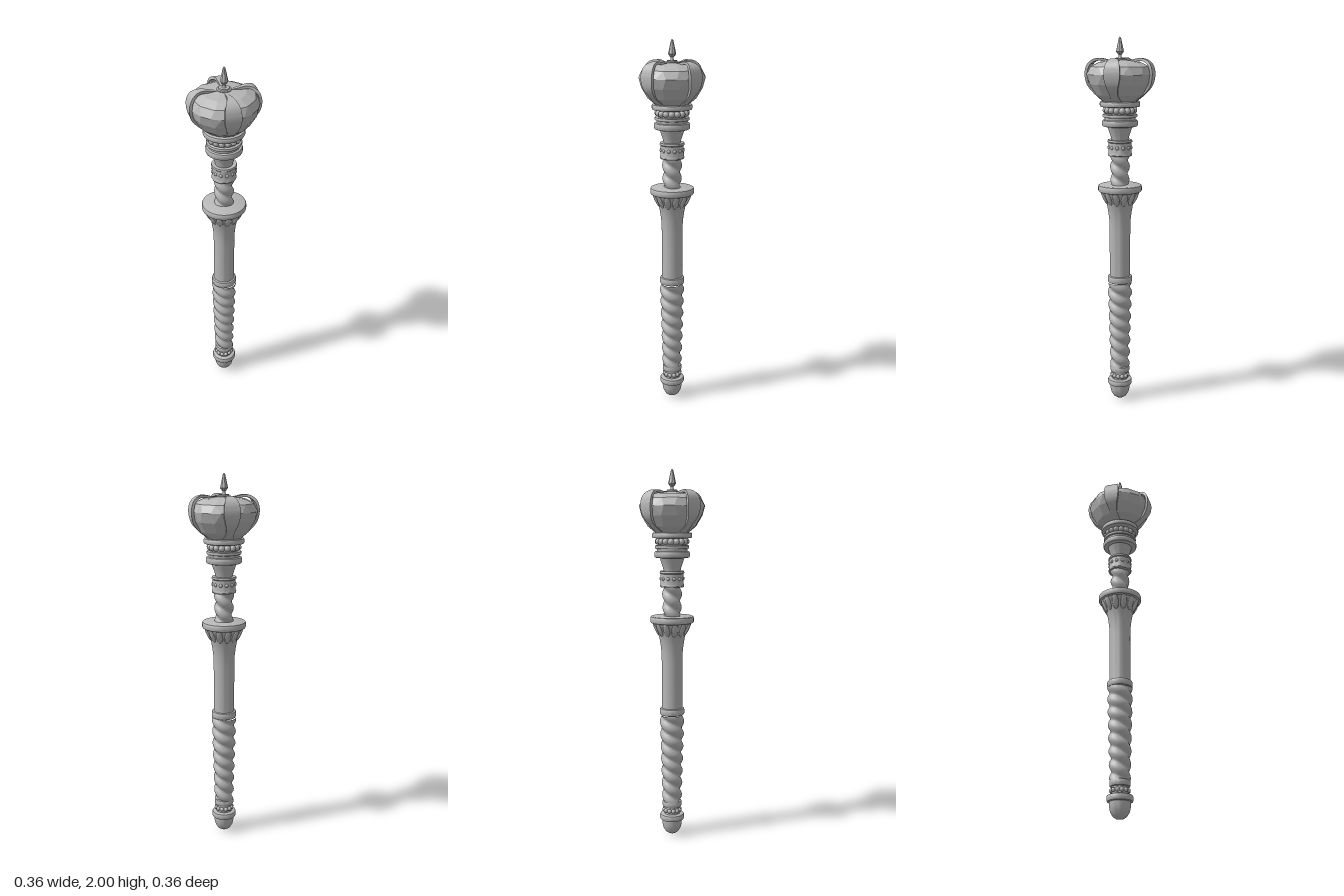
import * as THREE from 'three';
import { mergeVertices, toCreasedNormals } from 'three/addons/utils/BufferGeometryUtils.js';
import { ConvexGeometry } from 'three/addons/geometries/ConvexGeometry.js';

const metal = new THREE.MeshStandardMaterial({ color: 0xb8b8b8 });
metal.name = 'grey metal';

function add(parent, name, geometry) {
  const mesh = new THREE.Mesh(geometry, metal);
  mesh.name = name;
  parent.add(mesh);
  return mesh;
}

// Turned part from [radius, height] pairs, listed bottom to top
function turned(parent, name, profile, sides = 40) {
  const pts = profile.map(([r, y]) => new THREE.Vector2(r, y));
  return add(parent, name, toCreasedNormals(new THREE.LatheGeometry(pts, sides), 0.6));
}

// Ring with rounded rim
function ring(parent, name, y0, y1, r) {
  const b = (y1 - y0) * 0.25;
  return turned(parent, name, [[0, y0], [r - b, y0], [r - b * 0.3, y0 + b * 0.3], [r, y0 + b],
    [r, y1 - b], [r - b * 0.3, y1 - b * 0.3], [r - b, y1], [0, y1]]);
}

// Circle of beads
function beads(parent, name, count, y, r, size) {
  const group = new THREE.Group();
  group.name = name;
  const geometry = new THREE.SphereGeometry(size, 12, 8);
  for (let i = 0; i < count; i++) {
    const a = (i / count) * Math.PI * 2;
    add(group, 'bead', geometry).position.set(Math.sin(a) * r, y, Math.cos(a) * r);
  }
  parent.add(group);
}

// Rope-like column with two spiral ridges
function twisted(parent, name, y0, y1, r0, r1, depth, pitch) {
  const h = y1 - y0;
  let g = new THREE.CylinderGeometry(1, 1, h, 40, Math.round(h * 170), true);
  g.deleteAttribute('uv');
  g.deleteAttribute('normal');
  g = mergeVertices(g);
  const p = g.attributes.position;
  for (let i = 0; i < p.count; i++) {
    const y = p.getY(i) + (y0 + y1) / 2;
    const a = Math.atan2(p.getX(i), p.getZ(i));
    const wave = Math.abs(Math.cos(a + (2 * Math.PI * y) / pitch));
    const r = THREE.MathUtils.lerp(r0, r1, (y - y0) / h) - depth * (1 - wave);
    p.setXYZ(i, Math.sin(a) * r, y, Math.cos(a) * r);
  }
  g.computeVertexNormals();
  return add(parent, name, g);
}

// Curved crown band: points hold (width, height, radius)
function strapGeometry() {
  const curve = new THREE.CatmullRomCurve3([
    [0.055, 1.672, 0.088], [0.042, 1.71, 0.135], [0.062, 1.75, 0.167], [0.08, 1.79, 0.178],
    [0.082, 1.83, 0.178], [0.072, 1.865, 0.165], [0.045, 1.888, 0.135], [0.026, 1.892, 0.1],
    [0.018, 1.884, 0.06], [0.017, 1.882, 0.025],
  ].map((p) => new THREE.Vector3(...p)));
  const steps = 36, thick = 0.014, pos = [], idx = [];
  for (let i = 0; i <= steps; i++) {
    const c = curve.getPoint(i / steps), t = curve.getTangent(i / steps);
    const len = Math.hypot(t.y, t.z), ny = -t.z / len, nz = t.y / len, w = c.x / 2;
    for (const [x, d] of [[-w, 0], [w, 0], [w, thick], [-w, thick]]) {
      pos.push(x, c.y - ny * d, c.z - nz * d);
    }
    if (i === steps) continue;
    for (let j = 0; j < 4; j++) {
      const a = i * 4 + j, b = i * 4 + ((j + 1) % 4);
      idx.push(a, b, b + 4, a, b + 4, a + 4);
    }
  }
  const g = new THREE.BufferGeometry();
  g.setAttribute('position', new THREE.Float32BufferAttribute(pos, 3));
  g.setIndex(idx);
  return toCreasedNormals(g, 0.6);
}

export function createModel() {
  const model = new THREE.Group();
  model.name = 'sceptre';

  // Pommel and lower bead collar
  turned(model, 'pommel', [[0, 0], [0.02, 0.004], [0.036, 0.015], [0.048, 0.035], [0.054, 0.06], [0.055, 0.09]]);
  ring(model, 'pommelRing', 0.085, 0.12, 0.067);
  turned(model, 'pommelCollar', [[0.043, 0.115], [0.043, 0.165]]);
  beads(model, 'pommelBeads', 12, 0.141, 0.043, 0.012);
  ring(model, 'gripLowerRing', 0.16, 0.195, 0.053);

  // Grip
  twisted(model, 'grip', 0.19, 0.685, 0.054, 0.068, 0.015, 0.14);
  ring(model, 'gripUpperRing', 0.685, 0.725, 0.067);

  // Shaft with flared top and leaves
  turned(model, 'shaft', [[0.056, 0.72], [0.056, 0.98], [0.058, 1.04], [0.063, 1.08], [0.07, 1.12],
    [0.082, 1.155], [0.098, 1.185], [0.105, 1.2]]);
  const leaves = new THREE.Group();
  leaves.name = 'flareLeaves';
  const leafGeometry = new THREE.SphereGeometry(1, 10, 8).scale(0.018, 0.042, 0.008).rotateX(0.45);
  for (let i = 0; i < 12; i++) {
    const pivot = new THREE.Group();
    pivot.rotation.y = (i * Math.PI) / 6;
    add(pivot, 'leaf', leafGeometry).position.set(0, 1.16, 0.086);
    leaves.add(pivot);
  }
  model.add(leaves);
  ring(model, 'flange', 1.192, 1.23, 0.117);

  // Upper twisted neck and beaded band
  twisted(model, 'neck', 1.225, 1.39, 0.05, 0.054, 0.014, 0.14);
  turned(model, 'neckBand', [[0, 1.385], [0.062, 1.385], [0.065, 1.392], [0.062, 1.4], [0.061, 1.455],
    [0.066, 1.46], [0.064, 1.47], [0, 1.47]]);
  beads(model, 'neckBandBeads', 12, 1.43, 0.058, 0.01);

  // Crown base
  turned(model, 'crownCup', [[0.044, 1.465], [0.048, 1.485], [0.058, 1.515], [0.068, 1.545]]);
  ring(model, 'crownCupRing', 1.54, 1.575, 0.094);
  turned(model, 'crownCollar', [[0.08, 1.57], [0.082, 1.59], [0.074, 1.6], [0.074, 1.65]]);
  ring(model, 'crownLowerRing', 1.588, 1.605, 0.091);
  beads(model, 'crownBeads', 16, 1.625, 0.075, 0.017);
  ring(model, 'crownUpperRing', 1.643, 1.672, 0.106);

  // Faceted cushion from rings of [radius, height, count]
  const points = [];
  for (const [r, y, n] of [[0.085, 1.668, 12], [0.13, 1.705, 12], [0.163, 1.76, 12], [0.174, 1.81, 20],
    [0.157, 1.85, 12], [0.11, 1.872, 12], [0.03, 1.883, 8]]) {
    for (let i = 0; i < n; i++) {
      const a = (i / n) * Math.PI * 2;
      points.push(new THREE.Vector3(Math.sin(a) * r, y, Math.cos(a) * r));
    }
  }
  add(model, 'cushion', new ConvexGeometry(points));

  // Four crown straps
  const strap = strapGeometry();
  for (let i = 0; i < 4; i++) add(model, 'crownStrap', strap).rotation.y = (i * Math.PI) / 2;

  // Finial
  turned(model, 'finialDisc', [[0.036, 1.87], [0.036, 1.886], [0.028, 1.888], [0.026, 1.893], [0, 1.893]], 32);
  turned(model, 'finialStem', [[0.013, 1.888], [0.008, 1.9], [0.008, 1.918]], 12);
  turned(model, 'finialSpike', [[0, 1.91], [0.01, 1.91], [0.021, 1.925], [0.006, 1.994], [0, 2]], 8);

  return model;
}
